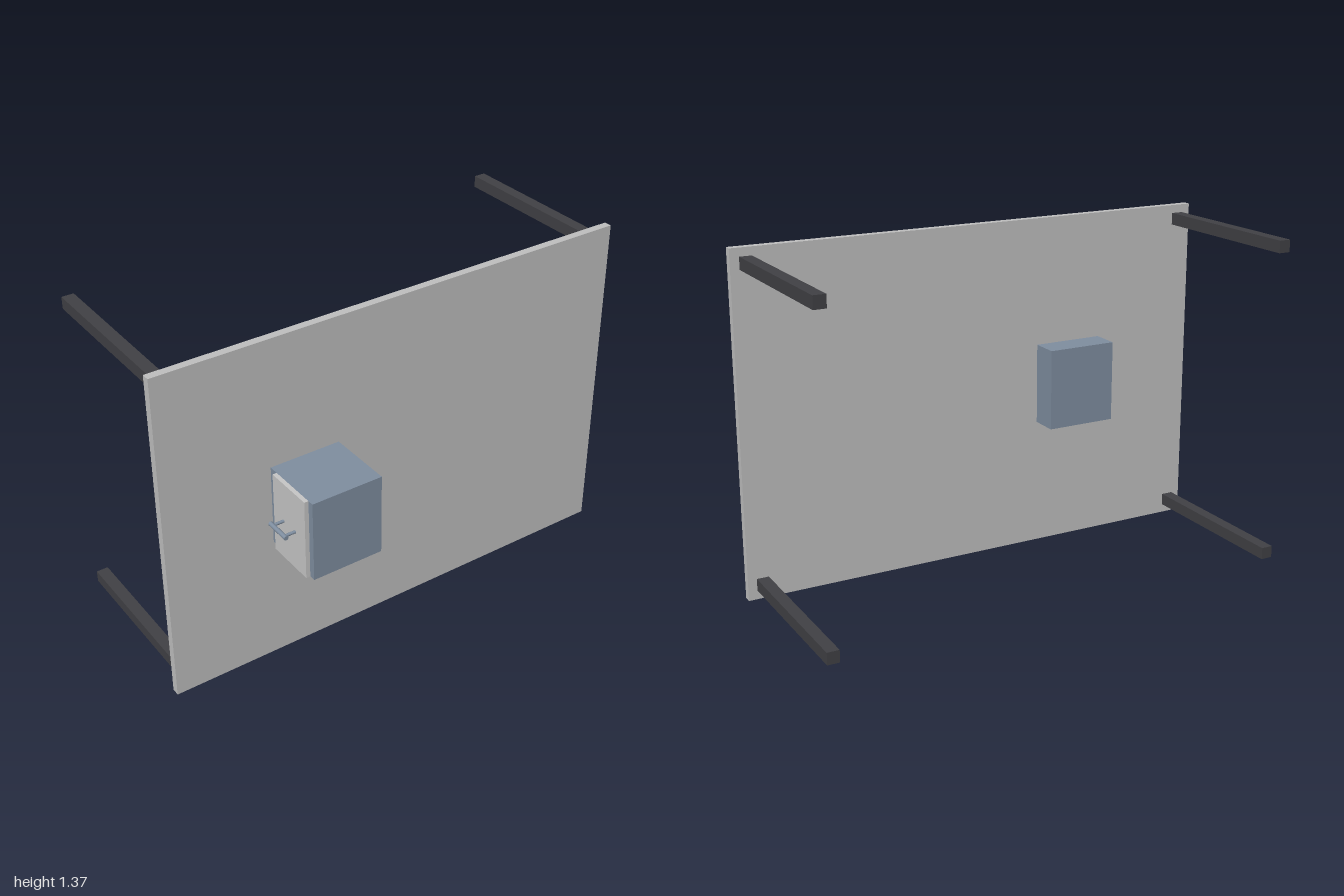
import * as THREE from 'three';

const material = (name, color) => {
  const m = new THREE.MeshStandardMaterial({ color });
  m.name = name;
  return m;
};

export function createModel() {
  const model = new THREE.Group();
  const panelGrey = material('panel grey', 0xc0c0c0);
  const slateBlue = material('slate blue', 0x808fa1);
  const charcoal = material('charcoal', 0x414145);
  const doorGrey = material('door grey', 0xc8c8c8);

  // Box given by its extents on each axis
  const box = (name, mat, [x0, x1], [y0, y1], [z0, z1]) => {
    const mesh = new THREE.Mesh(new THREE.BoxGeometry(x1 - x0, y1 - y0, z1 - z0), mat);
    mesh.position.set((x0 + x1) / 2, (y0 + y1) / 2, (z0 + z1) / 2);
    mesh.name = name;
    model.add(mesh);
  };

  // Upright panel and the cabinet passing through it
  box('panel', panelGrey, [-1, 1], [0, 1.367], [0.198, 0.23]);
  box('cabinet', slateBlue, [-0.56, -0.27], [0.521, 0.85], [0.084, 0.5]);

  // Four rails reaching back from the corners
  for (const side of [-1, 1]) {
    for (const y of [0.06, 1.31]) {
      const x = side * 0.94;
      box('rail', charcoal, [x - 0.024, x + 0.024], [y - 0.024, y + 0.024], [-0.5, 0.198]);
    }
  }

  // Door on the cabinet's side
  box('door', doorGrey, [-0.577, -0.56], [0.521, 0.85], [0.27, 0.475]);

  // Door handle: a round grip on two posts
  const handle = new THREE.Group();
  handle.name = 'doorHandle';
  const grip = new THREE.Mesh(new THREE.CylinderGeometry(0.009, 0.009, 0.105, 16), slateBlue);
  grip.name = 'handleGrip';
  grip.rotation.x = Math.PI / 2;
  grip.position.set(-0.623, 0.686, 0.372);
  handle.add(grip);
  for (const z of [0.334, 0.41]) {
    const post = new THREE.Mesh(new THREE.CylinderGeometry(0.006, 0.006, 0.046, 12), slateBlue);
    post.name = 'handlePost';
    post.rotation.z = Math.PI / 2;
    post.position.set(-0.6, 0.686, z);
    handle.add(post);
  }
  model.add(handle);

  return model;
}
